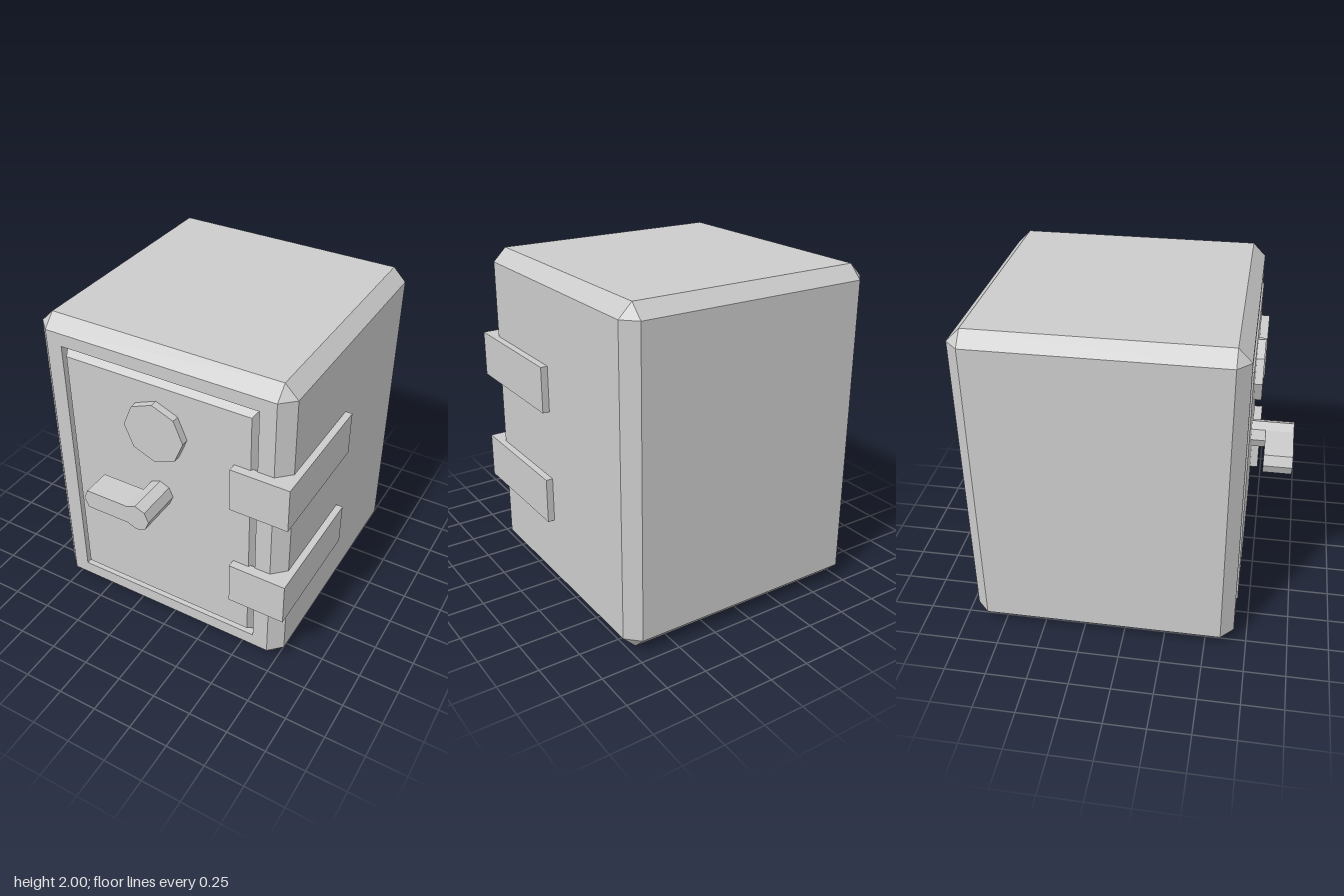
import * as THREE from 'three';

const material = new THREE.MeshStandardMaterial({ color: 0xcccccc, flatShading: true });

// Eight-point ring (rectangle with cut corners c), counterclockwise seen from the front
function ring(x0, x1, y0, y1, z, c = 0) {
  return [
    [x1, y0 + c], [x1, y1 - c], [x1 - c, y1], [x0 + c, y1],
    [x0, y1 - c], [x0, y0 + c], [x0 + c, y0], [x1 - c, y0],
  ].map(([x, y]) => new THREE.Vector3(x, y, z));
}

// Skin the rings in order, then close the chosen ends; empty triangles are dropped
function loft(rings, capStart, capEnd) {
  const points = [];
  const tri = (a, b, c) => {
    if (new THREE.Triangle(a, b, c).getArea() > 1e-7) points.push(a, b, c);
  };
  for (let r = 0; r + 1 < rings.length; r++) {
    const a = rings[r], b = rings[r + 1];
    for (let i = 0; i < 8; i++) {
      const j = (i + 1) % 8;
      tri(a[i], a[j], b[j]);
      tri(a[i], b[j], b[i]);
    }
  }
  const first = rings[0], last = rings[rings.length - 1];
  for (let i = 1; i < 7; i++) {
    if (capStart) tri(first[0], first[i + 1], first[i]);
    if (capEnd) tri(last[0], last[i], last[i + 1]);
  }
  const geometry = new THREE.BufferGeometry().setFromPoints(points);
  geometry.computeVertexNormals();
  return geometry;
}

// Prism from a flat outline, running from z0 to z1
function prism(outline, z0, z1) {
  const shape = new THREE.Shape(outline.map(([x, y]) => new THREE.Vector2(x, y)));
  return new THREE.ExtrudeGeometry(shape, { depth: z1 - z0, bevelEnabled: false }).translate(0, 0, z0);
}

function octagon(cx, cy, r) {
  return Array.from({ length: 8 }, (_, i) => [
    cx + r * Math.cos(i * Math.PI / 4), cy + r * Math.sin(i * Math.PI / 4),
  ]);
}

export function createModel() {
  const group = new THREE.Group();
  const add = (name, geometry, parent = group) => {
    const mesh = new THREE.Mesh(geometry, material);
    mesh.name = name;
    parent.add(mesh);
    return mesh;
  };

  // Chamfered cabinet with a shallow door recess in its front
  const x0 = -0.825, x1 = 0.78, c = 0.08, floor = 0.605;
  add('cabinet', loft([
    ring(x0 + c, x1 - c, c, 2 - c, -0.935),
    ring(x0, x1, 0, 2, -0.855, c),
    ring(x0, x1, 0, 2, 0.595, c),
    ring(x0 + c, x1 - c, c, 2 - c, 0.672),
    ring(-0.645, 0.602, 0.165, 1.84, 0.672),
    ring(-0.645, 0.602, 0.165, 1.84, floor),
  ], true, true));

  // Door with sloped edges, standing just proud of the cabinet
  add('door', loft([
    ring(-0.645, 0.602, 0.165, 1.84, floor + 0.001),
    ring(-0.608, 0.565, 0.215, 1.79, 0.68),
  ], false, true));

  // Combination dial
  add('dial', prism(octagon(-0.02, 1.5, 0.192), 0.67, 0.725));

  // Handle: octagonal hub and an arm that continues its left faces
  const handle = new THREE.Group();
  handle.name = 'handle';
  group.add(handle);
  const hub = octagon(-0.02, 1.05, 0.085);
  add('handleHub', prism(hub, 0.67, 0.935), handle);
  add('handleArm', prism([
    hub[3], [-0.35, hub[3][1]], [-0.375, 1.05], [-0.35, hub[5][1]], hub[5], hub[4],
  ], 0.765, 0.935), handle);

  // Strap hinges wrapping the front right edge (outline in x and -z)
  const strap = [
    [0.465, -0.73], [0.822, -0.73], [0.822, 0.065], [0.775, 0.065],
    [0.775, -0.59], [0.7, -0.665], [0.465, -0.665],
  ];
  [['lowerHinge', 0.46], ['upperHinge', 1.17]].forEach(([name, y]) => {
    add(name, prism(strap, 0, 0.28).rotateX(-Math.PI / 2).translate(0, y, 0));
  });

  return group;
}
